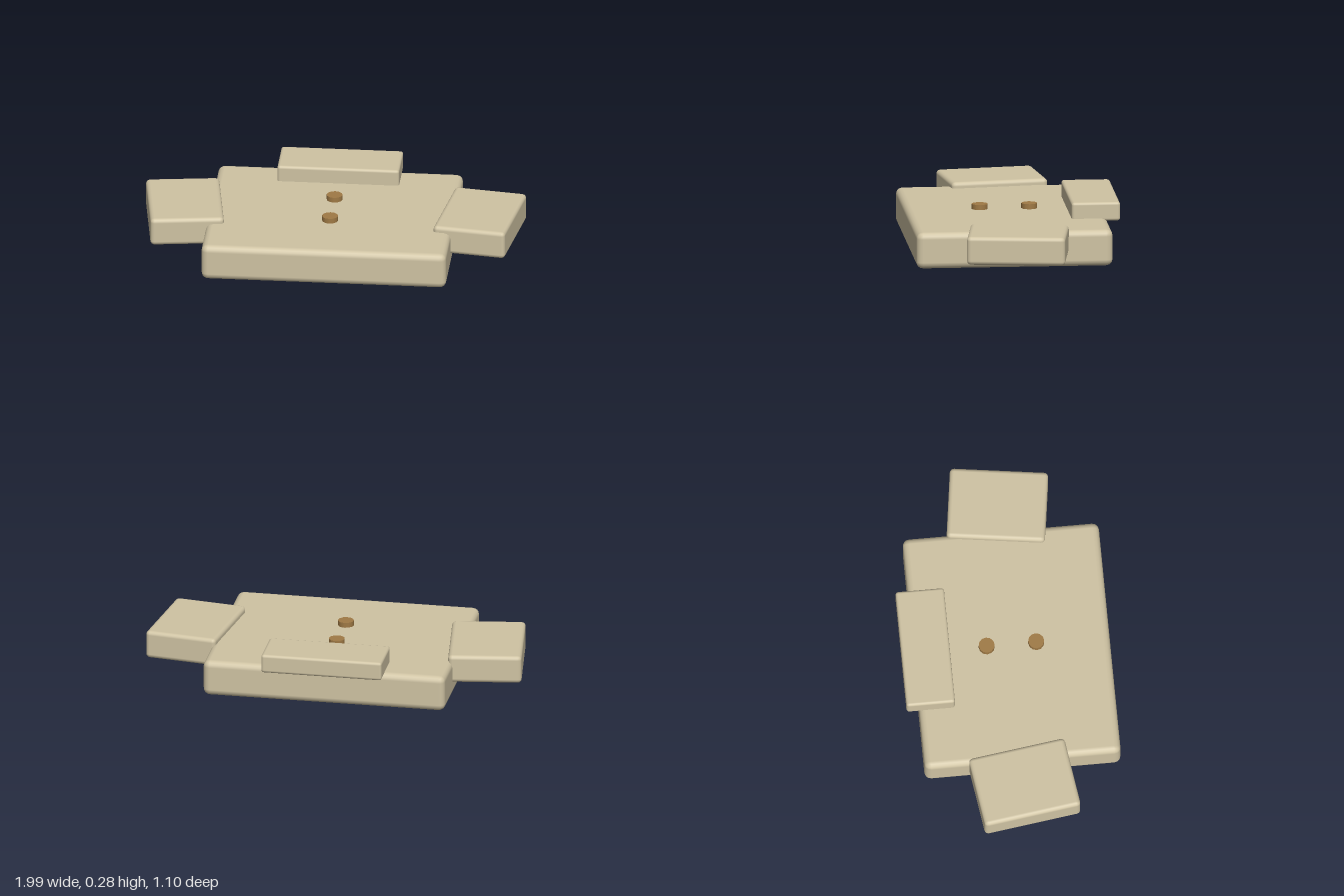
import * as THREE from 'three';
import { RoundedBoxGeometry } from 'three/addons/geometries/RoundedBoxGeometry.js';

export function createModel() {
  const model = new THREE.Group();
  model.name = 'foldedShirt';
  const cloth = new THREE.MeshStandardMaterial({ color: 0xcfc3a3 });
  cloth.name = 'beige cloth';
  const wood = new THREE.MeshStandardMaterial({ color: 0xa07a45 });
  wood.name = 'brown button';

  // Soft-edged slab of cloth
  function slab(name, size, radius, position, turn = 0) {
    const mesh = new THREE.Mesh(new RoundedBoxGeometry(...size, 2, radius), cloth);
    mesh.name = name;
    mesh.position.set(...position);
    mesh.rotation.y = turn;
    model.add(mesh);
  }

  slab('body', [1.285, 0.193, 1.03], 0.035, [0, 0.0965, 0.031]);
  slab('collar', [0.64, 0.1, 0.255], 0.015, [0, 0.228, -0.4225]);

  // Sleeves splayed outward to each side
  for (const side of [1, -1]) {
    slab(side > 0 ? 'leftSleeve' : 'rightSleeve',
      [0.385, 0.15, 0.515], 0.022, [side * 0.774, 0.15, 0.028], -side * 0.14);
  }

  // Buttons down the front
  for (const z of [-0.1, 0.16]) {
    const button = new THREE.Mesh(new THREE.CylinderGeometry(0.042, 0.042, 0.04, 12), wood);
    button.name = 'button';
    button.position.set(0, 0.2, z);
    model.add(button);
  }
  return model;
}
